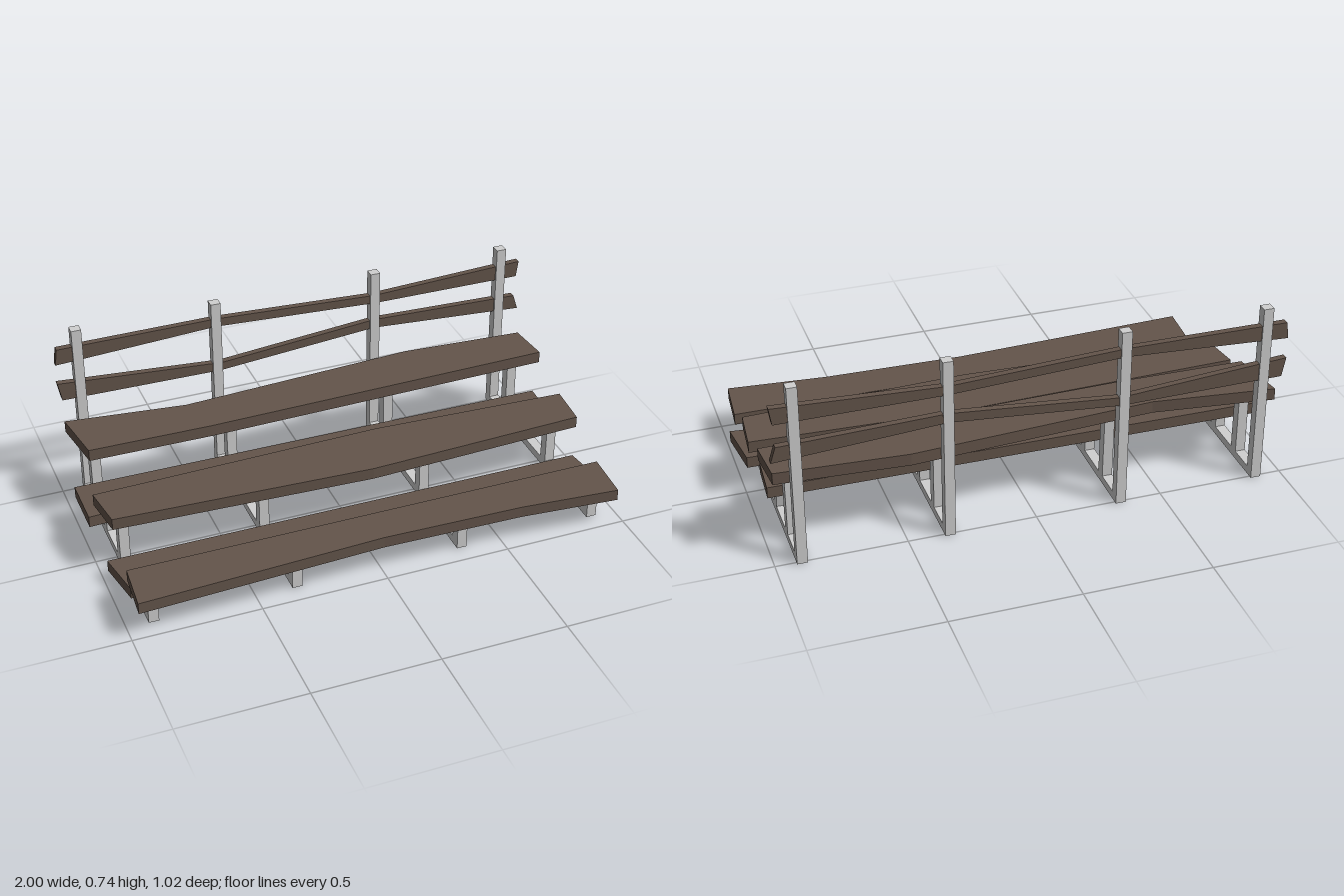
import * as THREE from 'three';

const wood = new THREE.MeshStandardMaterial({ color: 0x64554b, side: THREE.DoubleSide });
wood.name = 'weathered wood';
const metal = new THREE.MeshStandardMaterial({ color: 0xd0d0d0 });
metal.name = 'pale metal';

const FRAME_X = [-0.895, -0.335, 0.34, 0.9];
const BAR = 0.04;

function add(parent, name, geometry, material) {
  const mesh = new THREE.Mesh(geometry, material);
  mesh.name = name;
  parent.add(mesh);
  return mesh;
}

function extrude(points, depth) {
  const shape = new THREE.Shape(points.map(([x, y]) => new THREE.Vector2(x, y)));
  return new THREE.ExtrudeGeometry(shape, { depth, bevelEnabled: false });
}

// Warped plank from an (x, z) outline, hollow and open underneath
function plank(outline, y0, y1) {
  const full = extrude(outline.map(([x, z]) => [x, -z]), y1 - y0);
  full.rotateX(-Math.PI / 2).translate(0, y0, 0);
  const p = full.getAttribute('position');
  const kept = [];
  for (let i = 0; i < p.count; i += 3) {
    const corners = [i, i + 1, i + 2];
    if (corners.every((c) => p.getY(c) < y0 + 1e-4)) continue;
    for (const c of corners) kept.push(p.getX(c), p.getY(c), p.getZ(c));
  }
  const g = new THREE.BufferGeometry();
  g.setAttribute('position', new THREE.Float32BufferAttribute(kept, 3));
  g.computeVertexNormals();
  return g;
}

// Square bar spanning y0..y1 and z0..z1, its top shifted along z by lean
function bar(x, y0, y1, z0, z1, lean = 0) {
  const g = new THREE.BoxGeometry(BAR, y1 - y0, z1 - z0);
  g.translate(x, (y0 + y1) / 2, (z0 + z1) / 2);
  const p = g.getAttribute('position');
  for (let i = 0; i < p.count; i++) {
    if (p.getY(i) > (y0 + y1) / 2) p.setZ(i, p.getZ(i) + lean);
  }
  g.computeVertexNormals();
  return g;
}

export function createModel() {
  const model = new THREE.Group();
  model.name = 'bleachers';

  // Metal frames: ground rail, rear post and one leg per raised plank
  FRAME_X.forEach((x, i) => {
    const frame = new THREE.Group();
    frame.name = 'frame' + (i + 1);
    model.add(frame);
    add(frame, 'groundRail', bar(x, 0, 0.032, -0.475, 0.425), metal);
    add(frame, 'rearPost', bar(x, 0, 0.74, -0.512, -0.473), metal);
    add(frame, 'frontSeatLeg', bar(x, 0.03, 0.16, 0.381, 0.425), metal);
    add(frame, 'middleSeatLeg', bar(x, 0.03, 0.258, 0.013, 0.055), metal);
    add(frame, 'footboardLeg', bar(x, 0.03, 0.168, -0.174, -0.134, i === 3 ? -0.027 : 0), metal);
    add(frame, 'topSeatLeg', bar(x, 0.03, 0.348, -0.365, -0.323, i === 1 ? -0.009 : 0), metal);
  });

  // Seats and footboards
  add(model, 'lowerFootboard', plank([
    [-0.98, 0.112], [-0.945, 0.305], [0.25, 0.292], [0.6, 0.288], [0.995, 0.328], [0.97, 0.118],
  ], 0.033, 0.079), wood);
  add(model, 'frontSeat', plank([
    [-0.955, 0.305], [-0.97, 0.508], [0, 0.463], [0.565, 0.476], [0.96, 0.51], [0.975, 0.305],
  ], 0.12, 0.166), wood);
  add(model, 'middleSeat', plank([
    [-0.975, -0.065], [-0.95, 0.115], [0.08, 0.16], [0.975, 0.12], [0.99, -0.062], [0.19, -0.097],
  ], 0.217, 0.264), wood);
  add(model, 'upperFootboard', plank([
    [-1, -0.265], [-1, -0.053], [-0.2, -0.094], [0.1, -0.08], [0.955, -0.075], [0.965, -0.25],
  ], 0.128, 0.174), wood);
  add(model, 'topSeat', plank([
    [-0.975, -0.46], [-0.94, -0.228], [-0.45, -0.222], [0.99, -0.255],
    [0.975, -0.433], [0.47, -0.465], [-0.495, -0.402],
  ], 0.306, 0.354), wood);

  // Backrest boards
  const boards = {
    upperBackBoard: [
      [-0.985, 0.6], [-0.335, 0.635], [0.34, 0.602], [0.975, 0.6],
      [0.985, 0.667], [0.34, 0.638], [-0.335, 0.67], [-0.976, 0.667],
    ],
    lowerBackBoard: [
      [-0.97, 0.438], [-0.325, 0.431], [0.34, 0.487], [0.99, 0.445],
      [0.97, 0.508], [0.34, 0.525], [-0.315, 0.466], [-0.985, 0.515],
    ],
  };
  for (const [name, outline] of Object.entries(boards)) {
    add(model, name, extrude(outline, 0.026), wood).position.z = -0.507;
  }
  return model;
}
